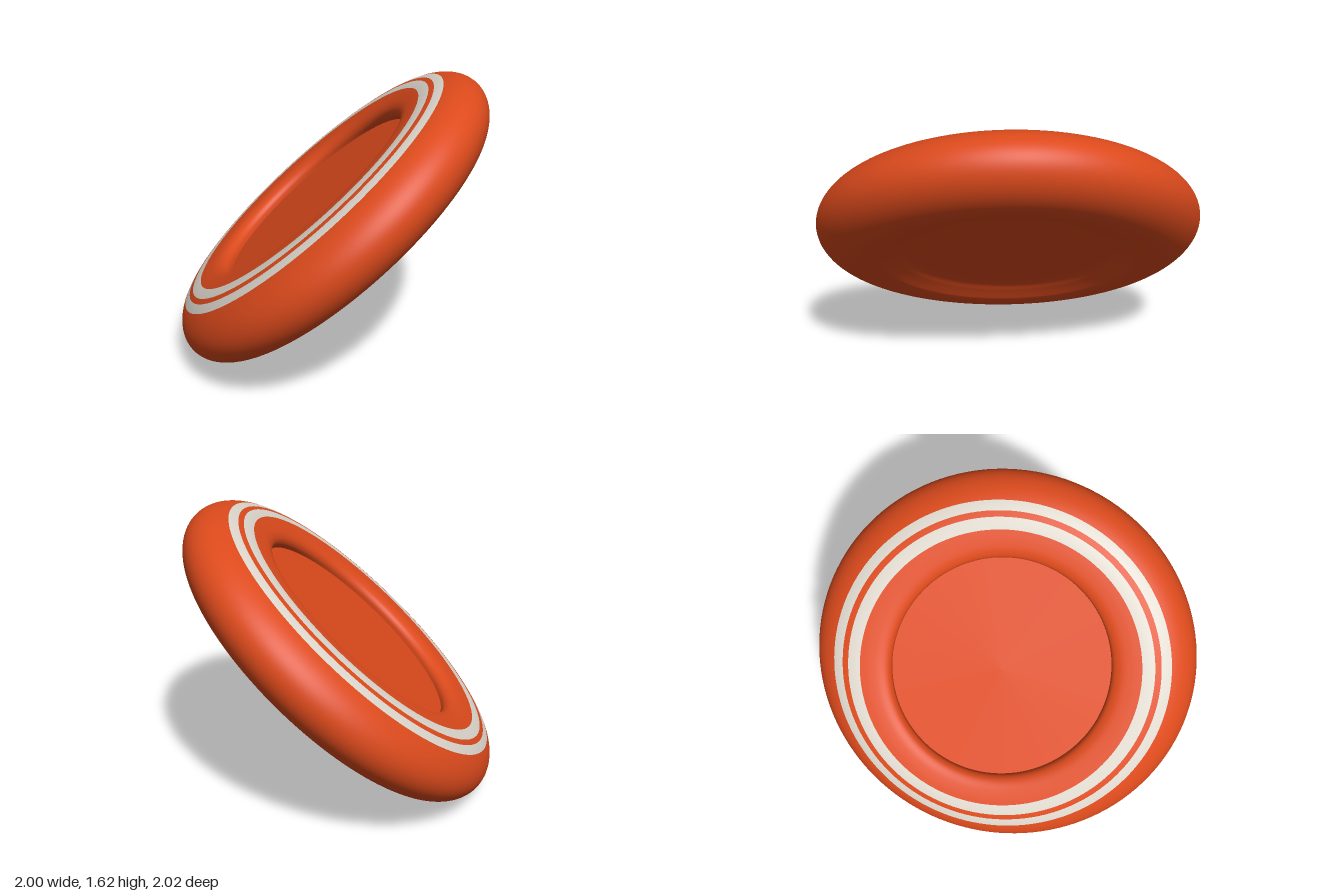
import * as THREE from 'three';

const orange = new THREE.MeshStandardMaterial({ color: 0xdc4a1c });
orange.name = 'burnt orange';
const cream = new THREE.MeshStandardMaterial({ color: 0xdcd6cc });
cream.name = 'warm white';

// Elliptical cross-section of the rim
const RIM = 0.83, WIDE = 0.29, HIGH = 0.212;
const rimPoint = (a) => new THREE.Vector2(RIM + WIDE * Math.cos(a), HIGH * Math.sin(a));
const topAngle = (radius) => Math.acos((radius - RIM) / WIDE);

function arc(from, to) {
  const n = Math.max(3, Math.ceil((to - from) / 0.06));
  return Array.from({ length: n + 1 }, (_, i) => rimPoint(from + (to - from) * i / n));
}

const curve = (pairs, n) =>
  new THREE.SplineCurve(pairs.map(([x, y]) => new THREE.Vector2(x, y))).getPoints(n);

// Turned part, slightly oval: the inner rings are longer than the outer edge
function turned(name, points, material) {
  const geometry = new THREE.LatheGeometry(points, 128);
  const pos = geometry.attributes.position;
  for (let i = 0; i < pos.count; i++) {
    const x = pos.getX(i), z = pos.getZ(i);
    const oval = 0.01 + 0.07 * (RIM + WIDE - Math.hypot(x, z));
    pos.setX(i, x * (1 - oval));
    pos.setZ(i, z * (1 + oval));
  }
  const mesh = new THREE.Mesh(geometry, material);
  mesh.name = name;
  return mesh;
}

export function createModel() {
  const disc = new THREE.Group();
  disc.name = 'disc';

  // Flat recessed underside running smoothly into the outer rim
  const start = -1.83;
  const s = rimPoint(start);
  const under = curve([[0, -0.148], [0.3, -0.148], [0.57, -0.151], [0.67, -0.175], [s.x, s.y]], 32);
  const edges = [0.985, 0.93, 0.896, 0.826].map(topAngle);
  disc.add(turned('undersideAndRim', [...under.slice(0, -1), ...arc(start, edges[0])], orange));

  // Two painted rings on top of the rim
  disc.add(turned('outerStripe', arc(edges[0], edges[1]), cream));
  disc.add(turned('stripeGap', arc(edges[1], edges[2]), orange));
  disc.add(turned('innerStripe', arc(edges[2], edges[3]), cream));

  // Flat inner shoulder with a tight lip down to the recessed floor
  const p = rimPoint(edges[3]);
  const lip = curve([[p.x, p.y], [0.77, 0.21], [0.71, 0.202], [0.67, 0.182], [0.654, 0.152], [0.658, 0.12]], 30);
  disc.add(turned('innerLip', lip, orange));
  disc.add(turned('recessedFloor', [new THREE.Vector2(0.658, 0.12), new THREE.Vector2(0, 0.12)], orange));

  // Tilt the disc, with its long axis near the steepest slope
  const axis = new THREE.Vector3(-0.495, 0.747, 0.446).normalize();
  const level = new THREE.Vector3(axis.z, 0, -axis.x).normalize();
  const slope = axis.clone().cross(level);
  const long = slope.multiplyScalar(Math.cos(0.28)).addScaledVector(level, Math.sin(0.28));
  const across = axis.clone().cross(long);
  disc.quaternion.setFromRotationMatrix(new THREE.Matrix4().makeBasis(across, axis, long));
  disc.position.y = 0.82;

  const model = new THREE.Group();
  model.name = 'flyingDisc';
  model.add(disc);
  return model;
}
